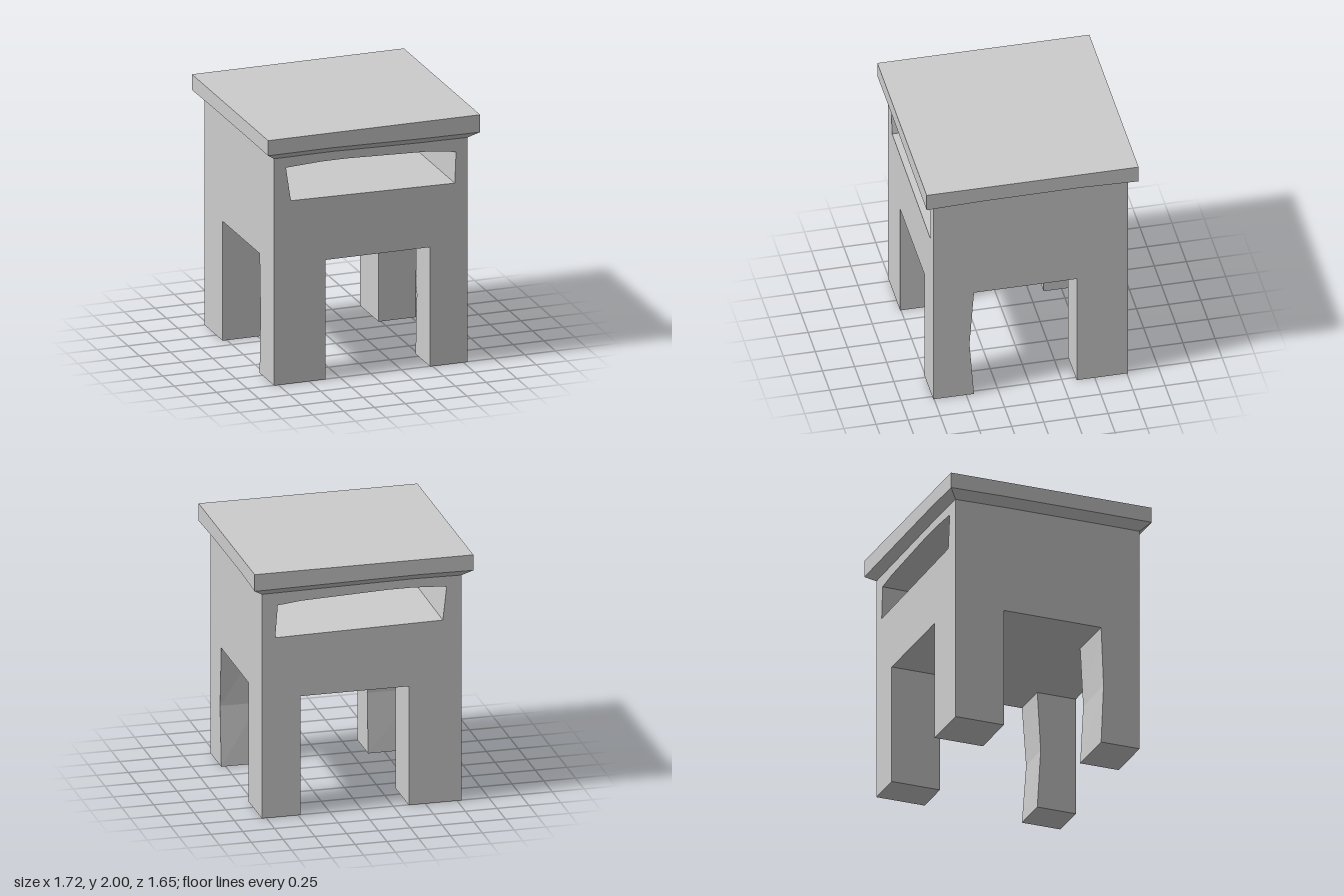
import * as THREE from 'three';

const X = 0.785, Z = 0.757;      // half width and depth of the body
const TOP_X = 0.86, TOP_Z = 0.825; // half width and depth of the slab

// Flat-faced copy of a geometry
function faceted(geometry) {
  const g = geometry.index ? geometry.toNonIndexed() : geometry;
  g.computeVertexNormals();
  return g;
}

// Upper body with a slot running from front to back, narrower at the back
function bodyGeometry() {
  const points = (list) => list.map(([x, y]) => new THREE.Vector2(x, y));
  const shape = new THREE.Shape(points([[-X, 0.96], [X, 0.96], [X, 1.84], [-X, 1.84]]));
  shape.holes.push(new THREE.Path(points([
    [-0.69, 1.74], [-0.4, 1.755], [-0.2, 1.755], [0.48, 1.73],
    [0.69, 1.7], [0.68, 1.45], [-0.65, 1.47],
  ])));
  const g = new THREE.ExtrudeGeometry(shape, { depth: 2 * Z, bevelEnabled: false });
  g.translate(0, 0, -Z);
  const p = g.attributes.position;
  for (let i = 0; i < p.count; i++) {
    const x = p.getX(i), y = p.getY(i);
    if (p.getZ(i) > 0 || Math.abs(x) > 0.75) continue;
    if (x < -0.6) p.setX(i, x + (y > 1.6 ? 0.022 : 0.012));
    if (x > 0.6 && y > 1.6) p.setXYZ(i, x - 0.03, y + 0.01, -Z);
  }
  return faceted(g);
}

// Square leg; the inner z face can be dented halfway up at its two edges
function legGeometry(x0, x1, z0, z1, dentLeft = 0, dentRight = 0) {
  const g = new THREE.BoxGeometry(x1 - x0, 0.96, z1 - z0, 1, 2, 1);
  g.translate((x0 + x1) / 2, 0.48, (z0 + z1) / 2);
  const p = g.attributes.position;
  for (let i = 0; i < p.count; i++) {
    const middle = Math.abs(p.getY(i) - 0.48) < 0.01;
    if (middle && Math.abs(p.getZ(i) - z0) < 0.001) {
      p.setZ(i, z0 + (p.getX(i) > (x0 + x1) / 2 ? dentLeft : dentRight));
    }
  }
  return faceted(g);
}

// Slab with a slightly sagging, chamfered underside
function slabGeometry() {
  // x and z as fractions of the half size, then the height of the lower edge
  const rim = [
    [1, 1, 1.86], [1, 0.5, 1.873], [1, -0.45, 1.878],
    [1, -1, 1.865], [0.5, -1, 1.87], [-0.5, -1, 1.88],
    [-1, -1, 1.875], [-1, -0.45, 1.88], [-1, 0.5, 1.88],
    [-1, 1, 1.878], [-0.4, 1, 1.88], [0.48, 1, 1.864],
  ];
  const rings = [
    rim.map(([x, z, y]) => [x * X, y - 0.055, z * Z]),
    rim.map(([x, z, y]) => [x * TOP_X, y, z * TOP_Z]),
    rim.map(([x, z]) => [x * TOP_X, 2, z * TOP_Z]),
  ];
  const v = [];
  for (let i = 0; i < rim.length; i++) {
    const j = (i + 1) % rim.length;
    for (let r = 0; r < 2; r++) {
      const [a, b, c, d] = [rings[r][i], rings[r][j], rings[r + 1][j], rings[r + 1][i]];
      v.push(...a, ...b, ...c, ...a, ...c, ...d);
    }
    v.push(0, 2, 0, ...rings[2][i], ...rings[2][j]);
  }
  const g = new THREE.BufferGeometry();
  g.setAttribute('position', new THREE.Float32BufferAttribute(v, 3));
  return faceted(g);
}

export function createModel() {
  const model = new THREE.Group();
  model.name = 'sideTable';
  const grey = new THREE.MeshStandardMaterial({ color: 0xcccccc });
  grey.name = 'light grey';

  const add = (name, geometry) => {
    const mesh = new THREE.Mesh(geometry, grey);
    mesh.name = name;
    model.add(mesh);
  };

  add('tableTop', slabGeometry());
  add('slottedBody', bodyGeometry());
  add('frontLeftLeg', legGeometry(0.48, X, 0.44, Z, 0.035, 0.028));
  add('frontRightLeg', legGeometry(-X, -0.37, 0.44, Z, 0.025, 0.02));
  add('backLeftLeg', legGeometry(0.48, X, -Z, -0.36));
  add('backRightLeg', legGeometry(-X, -0.37, -Z, -0.36));
  return model;
}
